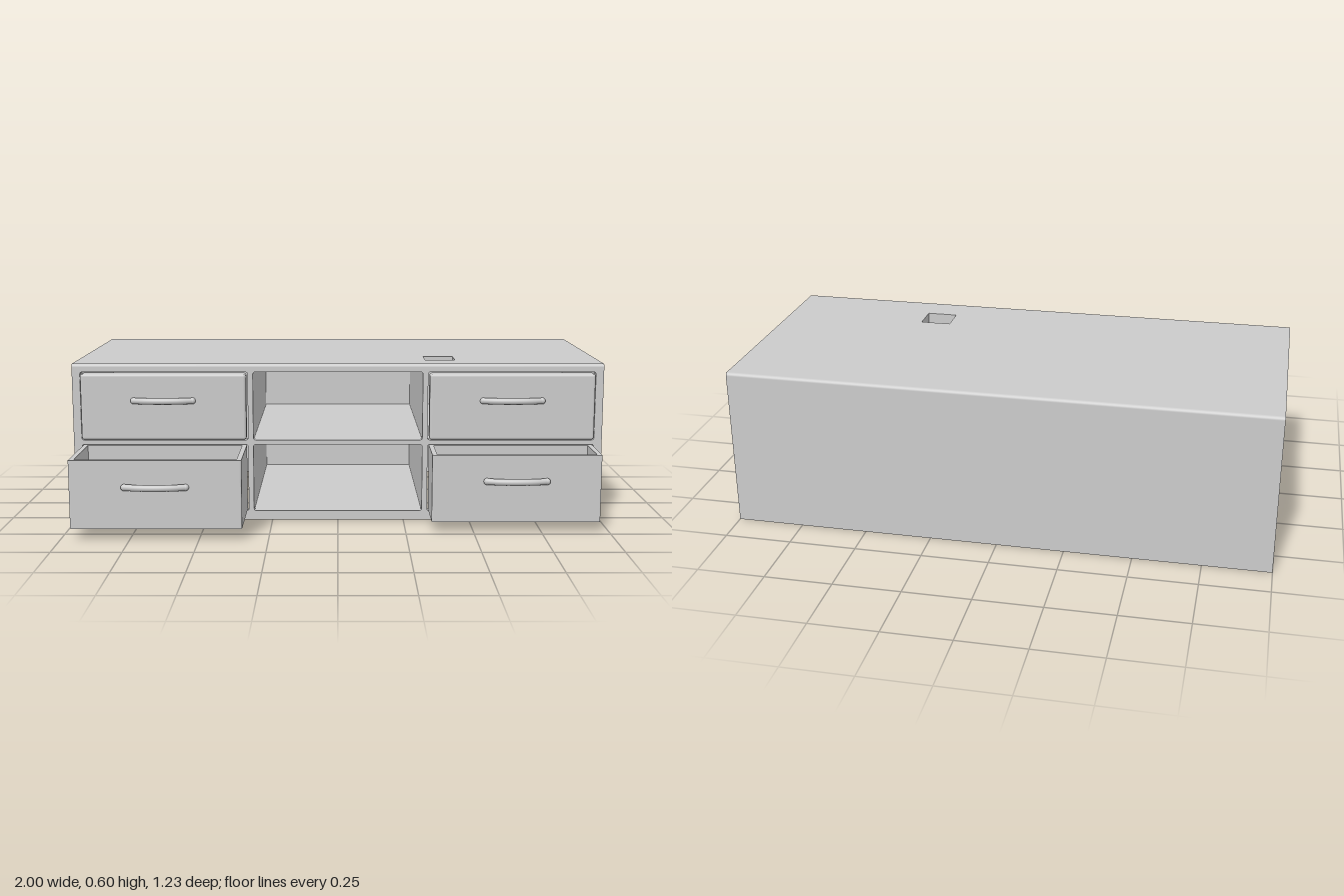
import * as THREE from 'three';
import { RoundedBoxGeometry } from 'three/addons/geometries/RoundedBoxGeometry.js';

const grey = new THREE.MeshStandardMaterial({ color: 0xcccccc, side: THREE.DoubleSide });
const FRONT = 0.28, BACK = -0.62, TOP = 0.6, R = 0.012;

function add(parent, name, geometry, x = 0, y = 0, z = 0) {
  const mesh = new THREE.Mesh(geometry, grey);
  mesh.name = name;
  mesh.position.set(x, y, z);
  parent.add(mesh);
  return mesh;
}

// Closed rectangular path, usable as a shape or a hole
function rect(path, x0, y0, x1, y1) {
  path.moveTo(x0, y0).lineTo(x1, y0).lineTo(x1, y1).lineTo(x0, y1).closePath();
  return path;
}

// Rectangular path with rounded corners
function roundRect(path, x0, y0, x1, y1, r) {
  path.moveTo(x0 + r, y0).lineTo(x1 - r, y0).quadraticCurveTo(x1, y0, x1, y0 + r);
  path.lineTo(x1, y1 - r).quadraticCurveTo(x1, y1, x1 - r, y1);
  path.lineTo(x0 + r, y1).quadraticCurveTo(x0, y1, x0, y1 - r);
  path.lineTo(x0, y0 + r).quadraticCurveTo(x0, y0, x0 + r, y0);
  return path;
}

// Thin box with one face left out (0 to 5: +x, -x, +y, -y, +z, -z)
function openBox(w, h, d, missing) {
  const geometry = new THREE.BoxGeometry(w, h, d);
  const index = Array.from(geometry.index.array);
  index.splice(missing * 6, 6);
  geometry.setIndex(index);
  geometry.clearGroups();
  return geometry;
}

// Bowed pull handle with rounded ends
function addHandle(parent, x, y, z) {
  const handle = new THREE.Group();
  handle.name = 'handle';
  const points = [[-0.11, 0.004], [-0.06, 0.018], [0, 0.023], [0.06, 0.018], [0.11, 0.004]];
  const curve = new THREE.CatmullRomCurve3(points.map(([px, pz]) => new THREE.Vector3(px, 0, pz)));
  add(handle, 'handleBar', new THREE.TubeGeometry(curve, 24, 0.012, 12));
  for (const side of [-1, 1]) {
    add(handle, 'handleEnd', new THREE.SphereGeometry(0.0125, 16, 10), side * 0.11, 0, 0.004);
  }
  handle.position.set(x, y, z);
  parent.add(handle);
}

export function createModel() {
  const model = new THREE.Group();
  model.name = 'drawerCabinet';

  // Cabinet shell, open underneath
  const sideShape = new THREE.Shape();
  sideShape.moveTo(BACK, 0).lineTo(FRONT, 0).lineTo(FRONT, TOP - R);
  sideShape.quadraticCurveTo(FRONT, TOP, FRONT - R, TOP).lineTo(BACK + R, TOP);
  sideShape.quadraticCurveTo(BACK, TOP, BACK, TOP - R).closePath();
  for (const side of [-1, 1]) {
    const panel = new THREE.ShapeGeometry(sideShape);
    panel.rotateY(-Math.PI / 2);
    if (side < 0) panel.rotateY(0);
    add(model, side > 0 ? 'leftSide' : 'rightSide', panel, side, 0, 0);
  }
  add(model, 'backPanel', new THREE.PlaneGeometry(2, TOP - R).rotateY(Math.PI), 0, (TOP - R) / 2, BACK);
  const edges = [['frontTopEdge', 0, FRONT - R], ['backTopEdge', Math.PI / 2, BACK + R]];
  for (const [name, start, z] of edges) {
    const edge = new THREE.CylinderGeometry(R, R, 2, 6, 1, true, start, Math.PI / 2);
    add(model, name, edge.rotateZ(Math.PI / 2), 0, TOP - R, z);
  }

  // Lid with a square recess
  const lid = rect(new THREE.Shape(), -1, -(FRONT - R), 1, -(BACK + R));
  lid.holes.push(rect(new THREE.Path(), 0.335, -0.15, 0.45, -0.045));
  add(model, 'lid', new THREE.ShapeGeometry(lid).rotateX(-Math.PI / 2), 0, TOP, 0);
  add(model, 'lidRecess', openBox(0.115, 0.04, 0.105, 2), 0.3925, TOP - 0.02, 0.0975);

  // Front frame with six openings
  const frame = rect(new THREE.Shape(), -1, 0, 1, TOP - R);
  const columns = [[-0.97, -0.34], [-0.32, 0.32], [0.34, 0.97]];
  const rows = [[0.035, 0.293], [0.31, 0.57]];
  for (const [x0, x1] of columns) {
    for (const [y0, y1] of rows) {
      frame.holes.push(roundRect(new THREE.Path(), x0, y0, x1, y1, 0.01));
    }
  }
  const frameGeometry = new THREE.ExtrudeGeometry(frame, { depth: 0.03, bevelEnabled: false, curveSegments: 4 });
  add(model, 'frontFrame', frameGeometry, 0, 0, FRONT - 0.03);

  // Two open niches in the middle
  for (const [y0, y1] of rows) {
    const depth = FRONT - BACK - 0.02;
    add(model, 'niche', openBox(0.64, y1 - y0, depth, 4), 0, (y0 + y1) / 2, FRONT - 0.005 - depth / 2);
  }

  // Shelf behind the left drawers
  add(model, 'shelf', new THREE.BoxGeometry(0.66, 0.016, 0.86), 0.665, 0.301, -0.185);

  for (const side of [-1, 1]) {
    const x = side * 0.655;

    // Closed upper drawer
    const upper = new THREE.Group();
    upper.name = 'upperDrawer';
    add(upper, 'drawerFront', new RoundedBoxGeometry(0.62, 0.25, 0.055, 3, 0.01), x, 0.44, 0.2795);
    addHandle(upper, x, 0.465, 0.307);
    model.add(upper);

    // Pulled-out lower drawer, an open tray
    const lower = new THREE.Group();
    lower.name = 'lowerDrawer';
    const z0 = 0.265, z1 = side > 0 ? 0.477 : 0.577;
    const wall = roundRect(new THREE.Shape(), -0.31, -z1, 0.31, -z0, 0.006);
    wall.holes.push(rect(new THREE.Path(), -0.292, -z1 + 0.018, 0.292, -z0 - 0.018));
    const walls = new THREE.ExtrudeGeometry(wall, { depth: 0.25, bevelEnabled: false, curveSegments: 3 });
    add(lower, 'drawerWalls', walls.rotateX(-Math.PI / 2), x, 0.04, 0);
    add(lower, 'drawerBottom', new THREE.BoxGeometry(0.6, 0.018, z1 - z0 - 0.01), x, 0.05, (z0 + z1) / 2);
    addHandle(lower, x, 0.193, z1);
    model.add(lower);
  }
  return model;
}
